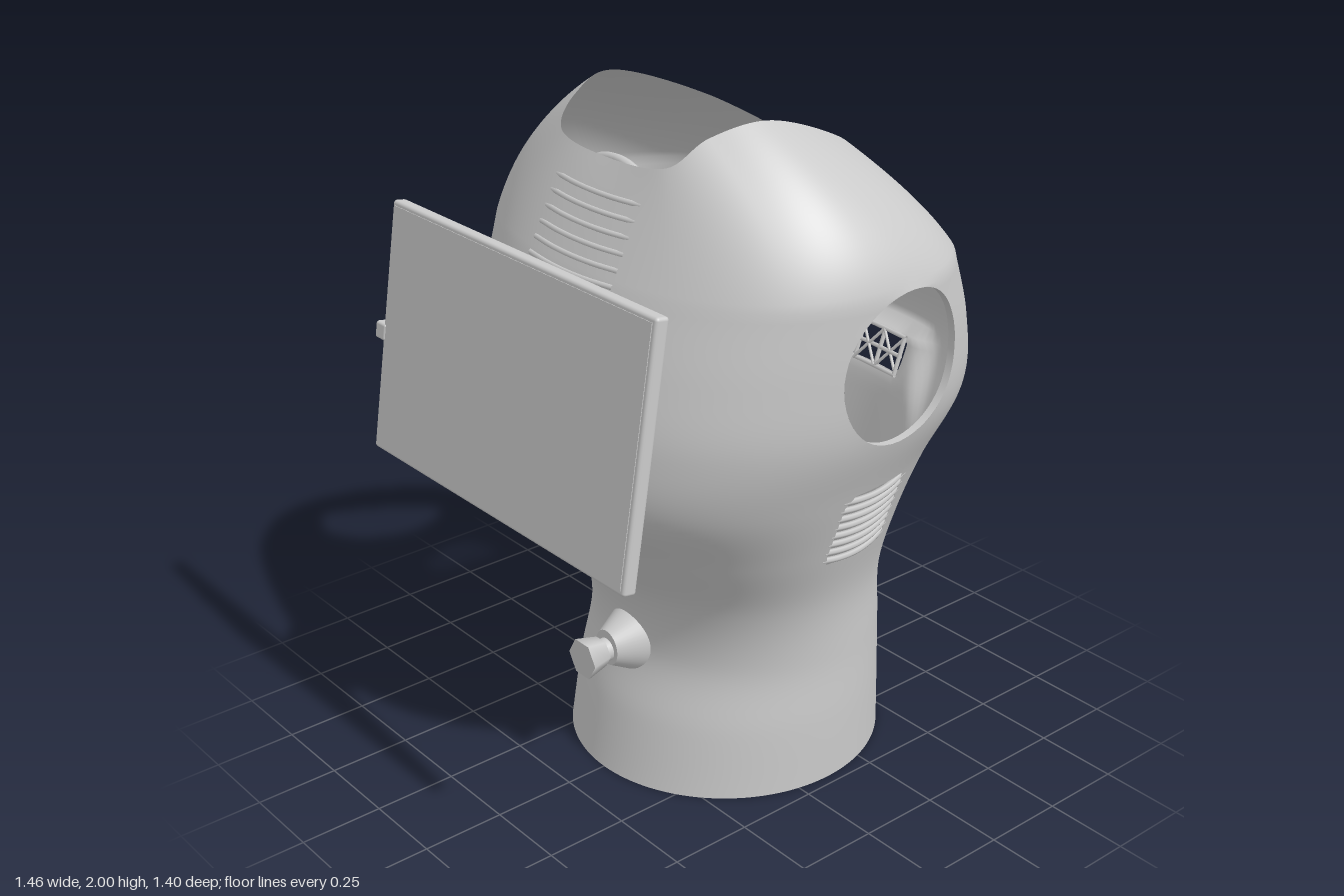
import * as THREE from 'three';
import { RoundedBoxGeometry } from 'three/addons/geometries/RoundedBoxGeometry.js';

const greyMat = new THREE.MeshStandardMaterial({ name: 'light grey', color: 0xcacaca, side: THREE.DoubleSide });

const V = (x, y, z) => new THREE.Vector3(x, y, z);
const { smoothstep, lerp } = THREE.MathUtils;
const ARM = { x: 0.13, y: 1.385, r: 0.22 };

// body section every 0.2 in height: min x, max x, half width in z
const sections = new THREE.CatmullRomCurve3([
  V(-0.37, 0.58, 0.47), V(-0.325, 0.565, 0.47), V(-0.27, 0.55, 0.465),
  V(-0.31, 0.54, 0.48), V(-0.44, 0.58, 0.54), V(-0.575, 0.65, 0.61),
  V(-0.58, 0.73, 0.682), V(-0.53, 0.695, 0.70), V(-0.455, 0.61, 0.70),
], false, 'catmullrom');

// edge of the top opening
const half = [[0.485, 1.75, 0.13], [0.26, 1.89, 0.275], [-0.03, 2.0, 0.325], [-0.2, 1.975, 0.28], [-0.295, 1.9, 0.22]];
const rim = new THREE.CatmullRomCurve3([
  V(0.5, 1.74, 0), ...half.map(p => V(...p)), V(-0.31, 1.88, 0),
  ...half.slice().reverse().map(([x, y, z]) => V(x, y, -z)),
], true, 'catmullrom');

const power = y => 2 + 0.3 * smoothstep(y, 0.5, 1.3);

function bodyPoint(y, a) {
  const s = sections.getPoint(y / 1.6), e = 2 / power(y);
  const c = Math.cos(a), n = Math.sin(a);
  const p = V((s.x + s.y) / 2 + (s.y - s.x) / 2 * Math.sign(c) * Math.abs(c) ** e, y,
    s.z * Math.sign(n) * Math.abs(n) ** e);
  // recess under the brow at the back vent, widening downwards
  if (p.x > 0 && y < 1.199) {
    const w = lerp(0.34, 0.2, smoothstep(y, 0.8, 1.2));
    p.x -= 0.045 * (1 - smoothstep(Math.abs(p.z), w, w + 0.1)) * smoothstep(y, 0.75, 1.15);
  }
  return p;
}

// half width of the body at a given x and height
function sideZ(x, y) {
  const s = sections.getPoint(Math.min(y / 1.6, 1)), n = power(y);
  const t = Math.abs(x - (s.x + s.y) / 2) / ((s.y - s.x) / 2);
  return s.z * Math.max(0, 1 - t ** n) ** (1 / n);
}

// pushes a 2D point out of a box; returns the new point, or null if outside
function outOfBox(u, v, u0, u1, v0, v1) {
  if (u <= u0 || u >= u1 || v <= v0 || v >= v1) return null;
  const d = [u - u0, u1 - u, v - v0, v1 - v], k = d.indexOf(Math.min(...d));
  return [[u0, v], [u1, v], [u, v0], [u, v1]][k];
}

// moves a point lying inside an opening to that opening's edge
function cut(p) {
  if (Math.abs(p.z) > 0.4) {
    const dx = p.x - ARM.x, dy = p.y - ARM.y, d = Math.hypot(dx, dy);
    if (d < ARM.r) {
      const k = ARM.r / Math.max(d, 0.001);
      p.x = ARM.x + dx * k; p.y = ARM.y + dy * k;
      p.z = Math.sign(p.z) * sideZ(p.x, p.y);
      return true;
    }
    const q = outOfBox(p.x, p.y, 0.01, 0.25, 0.77, 1.01);
    if (q) {
      p.x = q[0]; p.y = q[1];
      p.z = Math.sign(p.z) * sideZ(p.x, p.y);
      return true;
    }
  } else if (p.x > 0.4) {
    const q = outOfBox(p.z, p.y, -0.185, 0.185, 1.06, 1.17);
    if (q) { p.z = q[0]; p.y = q[1]; return true; }
  }
  return false;
}

function shellGeometry() {
  const SEG = 176, LOW = 64, TOP = 18, pos = [], idx = [], gone = [];
  for (let i = 0; i <= LOW + TOP; i++) for (let j = 0; j < SEG; j++) {
    const a = j / SEG * Math.PI * 2;
    let p = bodyPoint(Math.min(i / LOW, 1) * 1.6, a);
    if (i > LOW) {
      const r = rim.getPoint(j / SEG), m = p.clone().add(r).multiplyScalar(0.5);
      m.z += 0.14 * Math.sin(a) * Math.abs(Math.sin(a));
      m.y += 0.015;
      p = new THREE.QuadraticBezierCurve3(p, m, r).getPoint((i - LOW) / TOP);
    }
    gone.push(cut(p));
    pos.push(p.x, p.y, p.z);
  }
  const tri = (a, b, c) => { if (!(gone[a] && gone[b] && gone[c])) idx.push(a, b, c); };
  for (let i = 0; i < LOW + TOP; i++) for (let j = 0; j < SEG; j++) {
    const k = (j + 1) % SEG, a = i * SEG + j, b = a + SEG, c = i * SEG + k, d = c + SEG;
    tri(a, b, c); tri(b, d, c);
  }
  const g = new THREE.BufferGeometry();
  g.setAttribute('position', new THREE.Float32BufferAttribute(pos, 3));
  g.setIndex(idx);
  g.computeVertexNormals();
  return g;
}

// short lining that follows the shell around the arm opening
function collarGeometry(side) {
  const g = new THREE.CylinderGeometry(ARM.r, ARM.r, 0.024, 64, 1, true).rotateX(Math.PI / 2);
  const p = g.attributes.position;
  for (let i = 0; i < p.count; i++) {
    p.setZ(i, p.getZ(i) + side * (sideZ(ARM.x + p.getX(i), ARM.y + p.getY(i)) - 0.012));
  }
  return g;
}

export function createModel() {
  const model = new THREE.Group();
  model.name = 'torso';
  const add = (name, geo, x = 0, y = 0, z = 0, parent = model) => {
    const m = new THREE.Mesh(geo, greyMat);
    m.name = name;
    m.position.set(x, y, z);
    parent.add(m);
    return m;
  };
  const box = (w, h, d) => new THREE.BoxGeometry(w, h, d);
  const cylX = (rt, rb, h, n = 48) => new THREE.CylinderGeometry(rt, rb, h, n).rotateZ(Math.PI / 2); // top towards -x
  const ring = (r, t, arc = Math.PI * 2) => new THREE.TorusGeometry(r, t, 8, 64, arc).rotateX(Math.PI / 2);
  const rod = (name, pts, r) => add(name, new THREE.TubeGeometry(new THREE.CatmullRomCurve3(pts), 20, r, 6));
  // flat horizontal plate with round holes given as [x, z, radius]
  const flat = (shape, holes, depth) => {
    for (const [x, z, r] of holes) shape.holes.push(new THREE.Path().absarc(x, z, r, 0, Math.PI * 2, true));
    return new THREE.ExtrudeGeometry(shape, { depth, bevelEnabled: false, curveSegments: 48 }).rotateX(-Math.PI / 2);
  };
  const disc = r => new THREE.Shape().absarc(0, 0, r, 0, Math.PI * 2);

  add('shell', shellGeometry());

  for (const s of [-1, 1]) {
    add('armCollar', collarGeometry(s), ARM.x, ARM.y, 0);
    // slats of the side vent
    for (let i = 0; i < 8; i++) {
      const y = 0.785 + i * 0.03;
      const pts = [0, 0.065, 0.13, 0.195, 0.26].map(x => V(x, y - 0.012 * Math.sin(x / 0.26 * Math.PI), s * (sideZ(x, y) - 0.008)));
      rod('sideVentSlat', pts, 0.009);
    }
  }

  // lattice of the back vent
  const backX = y => bodyPoint(y, 0).x - 0.012;
  for (const y of [1.06, 1.115, 1.17]) {
    rod('backVentBar', [-0.185, 0, 0.185].map(z => V(backX(y) - z * z * 0.4, y, z)), 0.007);
  }
  for (let i = 0; i <= 4; i++) {
    const z = -0.18 + i * 0.09;
    rod('backVentPost', [V(backX(1.06) - z * z * 0.4, 1.06, z), V(backX(1.17) - z * z * 0.4, 1.17, z)], 0.007);
    if (i < 4) for (const d of [0, 0.09]) {
      rod('backVentBrace', [V(backX(1.06) - 0.008, 1.06, z + d), V(backX(1.17) - 0.008, 1.17, z + 0.09 - d)], 0.005);
    }
  }

  // ribs on the upper chest
  for (let i = 0; i < 6; i++) {
    const t = i / 5, x = -0.455 + 0.1 * t, y = 1.6 + 0.2 * t;
    rod('chestRib', [-0.18, -0.09, 0, 0.09, 0.18].map(z => V(x + z * z * 0.6 - 0.006, y, z)), 0.008);
  }

  // bracket inside the upper chest
  add('chestPeg', box(0.1, 0.09, 0.09), -0.255, 1.78, 0);
  for (const z of [-0.19, -0.1, 0.1, 0.19]) add('chestTab', box(0.05, 0.04, 0.05), -0.27, 1.82, z);
  const socket = add('chestSocket', new THREE.TorusGeometry(0.06, 0.014, 8, 32).rotateY(Math.PI / 2), -0.28, 1.81, 0);
  socket.scale.z = 1.8;
  add('backPeg', box(0.08, 0.08, 0.06), 0.46, 0.14, 0);

  // base plate with turntable
  const plate = new THREE.Shape([[-0.21, -0.28], [-0.16, -0.33], [0.31, -0.33], [0.42, -0.22],
    [0.42, 0.22], [0.31, 0.33], [-0.16, 0.33], [-0.21, 0.28]].map(p => new THREE.Vector2(...p)));
  add('basePlate', flat(plate, [[0.06, 0, 0.035], [-0.15, 0.26, 0.014], [-0.15, -0.26, 0.014]], 0.03), 0, 0.1, 0);
  add('plateRing', ring(0.27, 0.008), 0.1, 0.13, 0);
  for (let i = 0; i < 4; i++) add('plateRib', ring(0.13 + i * 0.03, 0.005, Math.PI / 2), 0.1, 0.133, 0);
  add('turntable', flat(disc(0.27), [[-0.04, 0, 0.035]], 0.02), 0.1, 0.08, 0);
  for (const r of [0.1, 0.18, 0.24]) add('turntableGroove', ring(r, 0.006), 0.1, 0.08, 0);
  add('turntableRim', ring(0.29, 0.022), 0.1, 0.08, 0);

  // neck hub and its bracket
  add('neckHub', flat(disc(0.1), [[0, 0, 0.035]], 0.022), 0.05, 1.465, 0);
  add('neckBracket', box(0.1, 0.03, 0.06), 0.1, 1.59, -0.14);

  // chest knob
  add('knobBase', cylX(0.05, 0.1, 0.1), -0.3, 0.405, 0).scale.y = 1.1;
  add('knobStem', cylX(0.035, 0.035, 0.06, 24), -0.36, 0.4, 0);
  add('knob', cylX(0.062, 0.045, 0.07, 6), -0.405, 0.4, 0);

  // tablet on its tilted mount
  const tablet = new THREE.Group();
  tablet.name = 'tablet';
  tablet.position.set(-0.655, 1.32, 0);
  tablet.rotation.z = -0.16;
  model.add(tablet);
  const onTablet = (name, geo, x, y, z) => add(name, geo, x, y, z, tablet);
  onTablet('tabletBody', new RoundedBoxGeometry(0.042, 0.73, 1.16, 3, 0.01), 0, 0, 0);
  onTablet('tabletScreen', box(0.004, 0.7, 1.13), -0.021, 0, 0);
  onTablet('tabletCamera', new RoundedBoxGeometry(0.012, 0.09, 0.09, 3, 0.005), 0.022, 0.29, 0.49);
  onTablet('tabletClamp', new RoundedBoxGeometry(0.05, 0.05, 0.05, 3, 0.008), 0, -0.02, -0.59);
  onTablet('tabletArm', box(0.012, 0.03, 0.58), 0.024, -0.02, -0.29);
  onTablet('mountNeck', cylX(0.13, 0.16, 0.06), 0.045, -0.03, 0);
  onTablet('mountFlange', cylX(0.17, 0.2, 0.06), 0.095, -0.03, 0);
  onTablet('mountPad', cylX(0.19, 0.24, 0.06), 0.13, -0.05, 0).scale.z = 1.2;
  return model;
}
